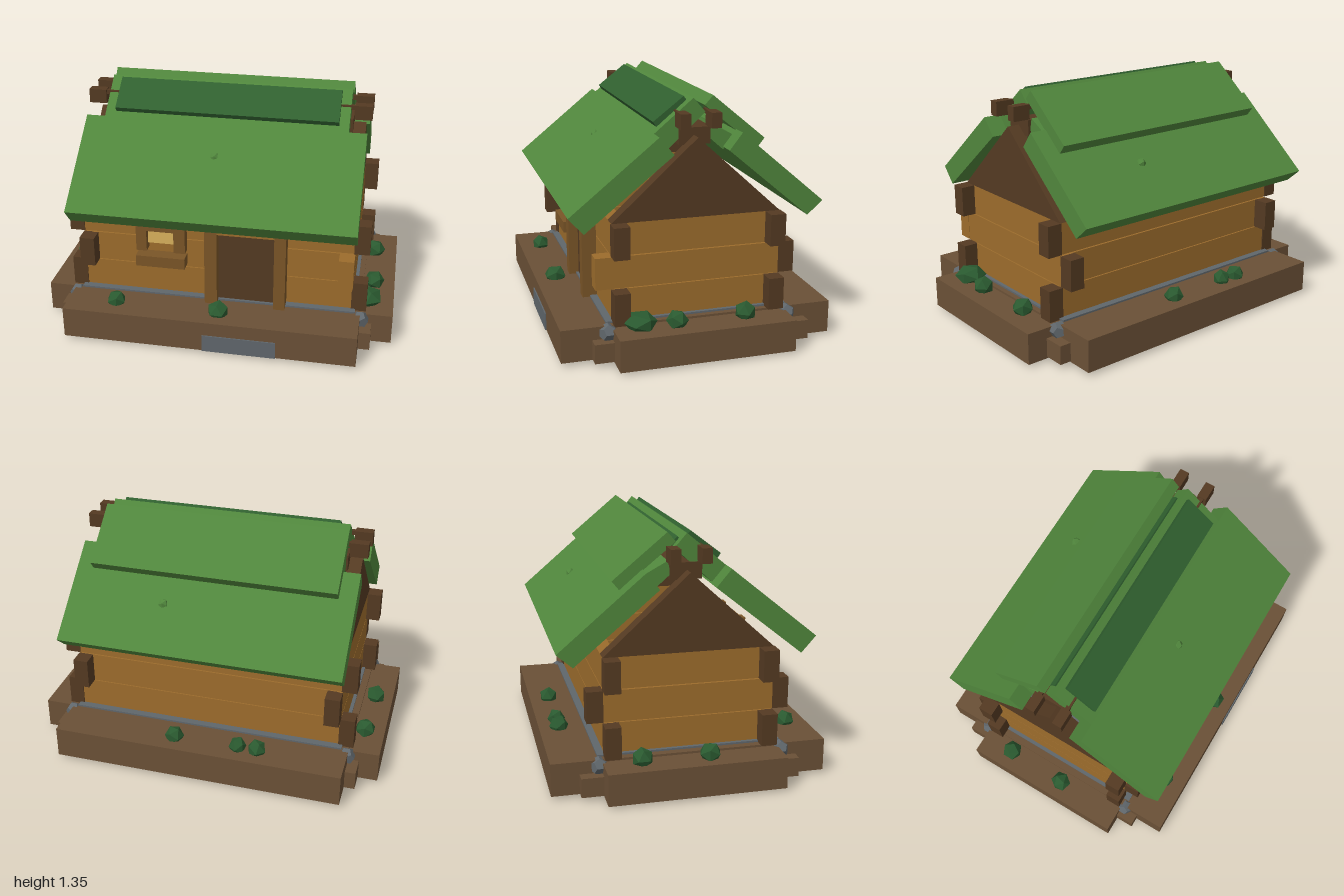
import * as THREE from 'three';

const mat = (color) => new THREE.MeshStandardMaterial({ color, flatShading: true });
const M = {
  log: mat(0x9c6c2c), dark: mat(0x543a22), trim: mat(0x7a5527), earth: mat(0x6a5036),
  stone: mat(0x5f666b), glass: mat(0xd8b05c), roof: mat(0x50863c), moss: mat(0x30602f), bush: mat(0x2a5a30),
};

export function createModel() {
  const root = new THREE.Group();
  root.name = 'logCabin';

  const add = (name, geo, m) => {
    const mesh = new THREE.Mesh(geo, m);
    mesh.name = name;
    root.add(mesh);
    return mesh;
  };
  // Box given by its extents on each axis
  const box = (name, m, x0, x1, y0, y1, z0, z1) => {
    const mesh = add(name, new THREE.BoxGeometry(x1 - x0, y1 - y0, z1 - z0), m);
    mesh.position.set((x0 + x1) / 2, (y0 + y1) / 2, (z0 + z1) / 2);
    return mesh;
  };
  // Prism with a [z, y] profile running along x
  const prism = (name, m, pts, x0, x1) => {
    const shape = new THREE.Shape(pts.map(([z, y]) => new THREE.Vector2(-z, y)));
    const geo = new THREE.ExtrudeGeometry(shape, { depth: x1 - x0, bevelEnabled: false });
    geo.rotateY(Math.PI / 2).translate(x0, 0, 0);
    return add(name, geo, m);
  };

  // Earth base: crossing slabs and low corner blocks
  box('baseLong', M.earth, -0.83, 0.82, 0.02, 0.2, -0.75, 0.745);
  box('baseWide', M.earth, -1, 1, 0.015, 0.188, -0.48, 0.475);
  box('baseCorners', M.earth, -0.89, 0.885, 0.025, 0.13, -0.6, 0.58);
  box('foundation', M.stone, -0.79, 0.79, 0.15, 0.21, -0.5, 0.5);
  box('doorStep', M.stone, -0.03, 0.38, 0.02, 0.12, 0.6, 0.752);
  for (const sx of [-1, 1]) for (const sz of [-1, 1]) {
    const s = add('cornerStone', new THREE.DodecahedronGeometry(0.05), M.stone);
    s.position.set(sx * 0.82, 0.165, sz * 0.495);
  }
  const pebble = add('pebble', new THREE.OctahedronGeometry(0.03), M.stone);
  pebble.position.set(-0.21, 0.03, -0.61);

  // Log walls: alternate courses lap over the corners with dark ends
  [[0.2, 0.375], [0.38, 0.552], [0.558, 0.73]].forEach(([y0, y1], row) => {
    const lapX = row !== 1;
    const fx = lapX ? 0.77 : 0.69;
    const sz = lapX ? 0.38 : 0.465;
    for (const s of [-1, 1]) {
      const span = (a, b) => (s > 0 ? [a, b] : [-b, -a]);
      box('wallLogLong', M.log, -fx, fx, y0, y1, ...span(0.38, 0.46));
      box('wallLogSide', M.log, ...span(0.69, 0.77), y0, y1, -sz, sz);
      for (const t of [-1, 1]) {
        const tspan = (a, b) => (t > 0 ? [a, b] : [-b, -a]);
        if (lapX) box('logEnd', M.dark, ...span(0.765, 0.85), y0, y1, ...tspan(0.38, 0.465));
        else box('logEnd', s > 0 && t > 0 ? M.log : M.dark,
          ...span(0.688, 0.772), y0, y1, ...tspan(0.46, 0.548));
      }
    }
  });

  // Gables and ridge beam
  const gable = [[0.46, 0.73], [-0.46, 0.73], [0, 1.15]];
  prism('gable', M.dark, gable, 0.69, 0.77);
  prism('gable', M.dark, gable, -0.77, -0.69);
  box('ridgeBeam', M.dark, -0.7, 0.7, 1.1, 1.19, -0.09, 0.08);

  // Door with posts and lintel
  box('door', M.dark, 0.01, 0.35, 0.2, 0.645, 0.45, 0.485);
  box('doorPost', M.trim, -0.055, 0.015, 0.2, 0.69, 0.45, 0.54);
  box('doorPost', M.trim, 0.335, 0.4, 0.2, 0.69, 0.45, 0.54);
  box('doorLintel', M.log, 0.015, 0.335, 0.637, 0.685, 0.45, 0.53);

  // Window with frame and sill
  box('windowGlass', M.glass, -0.39, -0.23, 0.525, 0.62, 0.45, 0.48);
  box('windowFrameTop', M.trim, -0.45, -0.17, 0.615, 0.675, 0.45, 0.515);
  box('windowFrameSide', M.trim, -0.45, -0.39, 0.49, 0.615, 0.45, 0.515);
  box('windowFrameSide', M.trim, -0.235, -0.17, 0.49, 0.615, 0.45, 0.515);
  box('windowSill', M.trim, -0.45, -0.17, 0.4, 0.465, 0.45, 0.535);

  // Main roof slopes
  prism('roofFront', M.roof, [[0.685, 0.78], [0.605, 0.69], [0.13, 1.07], [0.21, 1.165]], -0.795, 0.785);
  prism('roofBack', M.roof, [[-0.7, 0.77], [-0.615, 0.695], [-0.165, 1.075], [-0.235, 1.165]], -0.795, 0.785);
  // Upper roof boards
  prism('upperRoofFront', M.roof, [[0.215, 1.16], [0.15, 1.065], [-0.065, 1.265], [0, 1.34]], -0.69, 0.685);
  prism('lowerRidgeBoardBack', M.roof, [[-0.1, 1.2], [-0.23, 1.13], [-0.165, 1.06], [-0.085, 1.13]], -0.69, 0.685);
  prism('upperRoofBack', M.roof, [[-0.105, 1.35], [-0.395, 1.11], [-0.355, 1.06], [-0.06, 1.3]], -0.7, 0.69);
  prism('mossBoardFront', M.moss, [[0.2, 1.215], [0.035, 1.342], [0.015, 1.315], [0.18, 1.185]], -0.63, 0.63);
  prism('mossBoardBack', M.moss, [[-0.035, 1.315], [-0.09, 1.27], [-0.07, 1.24], [-0.02, 1.29]], -0.64, 0.62);

  // Ridge poles with block ends
  for (const z of [0.077, -0.087]) {
    box('ridgePole', M.dark, -0.72, 0.72, 1.25, 1.275, z - 0.012, z + 0.012);
    for (const x of [-0.76, 0.755]) box('poleEnd', M.dark, x - 0.05, x + 0.05, 1.2, 1.28, z - 0.027, z + 0.027);
  }

  // Low-poly bushes: [x, z, radius]
  [[-0.89, -0.28, 0.06], [-0.9, 0.08, 0.06], [0.87, -0.24, 0.06], [0.88, 0.14, 0.06], [0.85, 0.33, 0.09],
    [-0.55, 0.62, 0.055], [0.04, 0.63, 0.065], [0.14, -0.64, 0.055], [-0.23, -0.64, 0.05], [-0.34, -0.64, 0.055],
  ].forEach(([x, z, r], i) => {
    const b = add('bush', new THREE.IcosahedronGeometry(r), M.bush);
    b.position.set(x, 0.215, z);
    b.scale.y = 0.058 / r;
    b.rotation.y = i * 1.3;
  });

  // Moss tufts on the roof
  for (const [x, y, z] of [[0.24, 0.955, -0.47], [-0.03, 1.025, 0.36]]) {
    add('roofMoss', new THREE.IcosahedronGeometry(0.03), M.roof).position.set(x, y, z);
  }
  return root;
}
